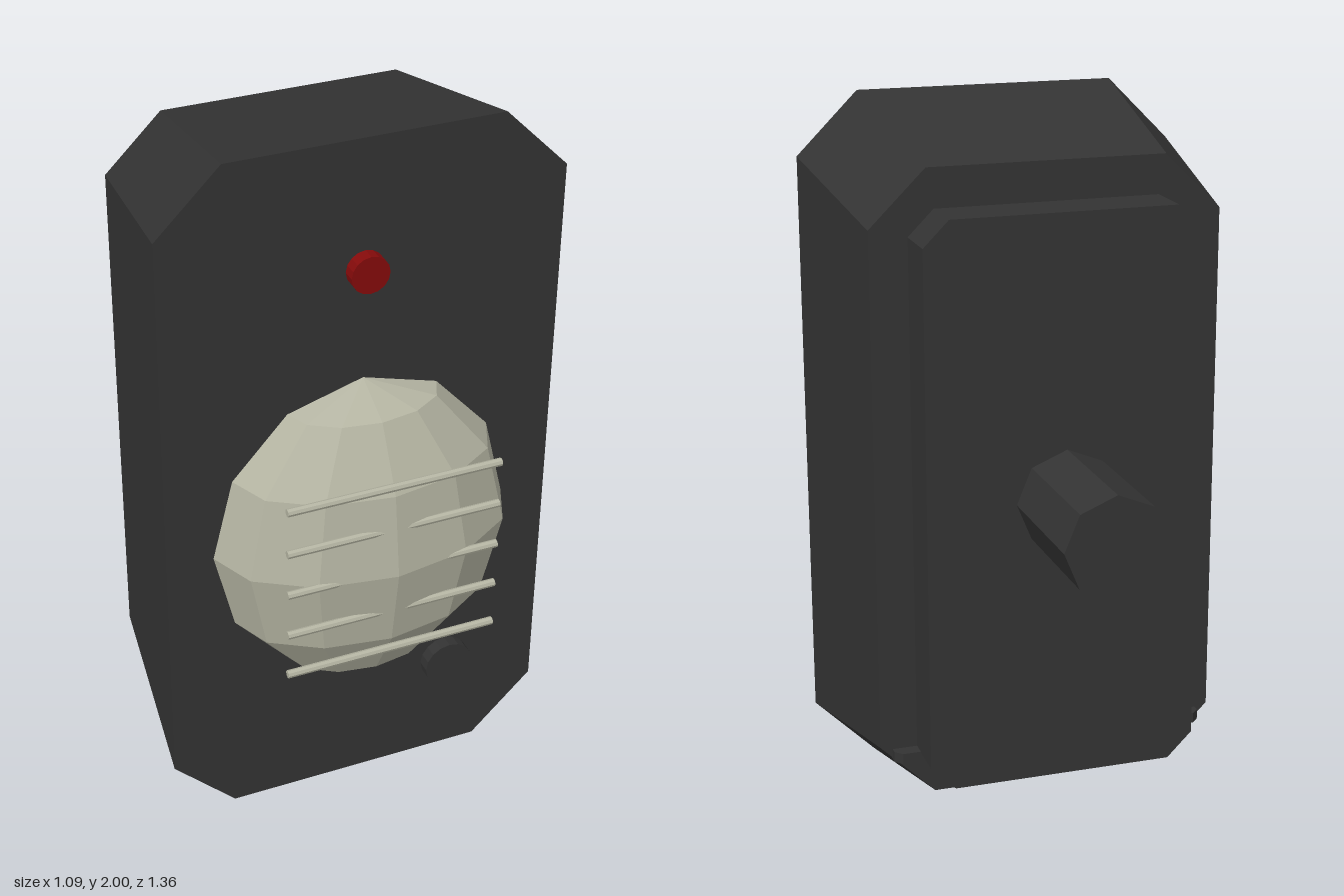
import * as THREE from 'three';

const mat = (name, color) => {
  const m = new THREE.MeshStandardMaterial({ color, flatShading: true });
  m.name = name;
  return m;
};

// Octagonal slab: rectangle with cut corners, from zBack to zFront, optionally tapering to the back
function cutSlab(w, h, cutX, cutY, zBack, zFront, taperX = 1, taperY = 1) {
  const pts = [
    [w, h - cutY], [w - cutX, h], [cutX - w, h], [-w, h - cutY],
    [-w, cutY - h], [cutX - w, -h], [w - cutX, -h], [w, cutY - h],
  ].map(([x, y]) => new THREE.Vector2(x, y));
  const geo = new THREE.ExtrudeGeometry(new THREE.Shape(pts), { depth: zFront - zBack, bevelEnabled: false });
  const p = geo.attributes.position;
  for (let i = 0; i < p.count; i++) {
    if (p.getZ(i) < 1e-4) p.setXY(i, p.getX(i) * taperX, p.getY(i) * taperY);
  }
  geo.translate(0, 0, zBack);
  geo.computeVertexNormals();
  return geo;
}

// Cylinder pointing along z
function zCylinder(r, zBack, zFront, sides) {
  return new THREE.CylinderGeometry(r, r, zFront - zBack, sides)
    .rotateX(Math.PI / 2)
    .translate(0, 0, (zBack + zFront) / 2);
}

export function createModel() {
  const group = new THREE.Group();
  const black = mat('black plastic', 0x333333);
  const red = mat('red lamp', 0x850b0b);
  const cream = mat('pale grey', 0xb4b4a2);

  const add = (name, geo, material, x = 0, y = 0, z = 0) => {
    const mesh = new THREE.Mesh(geo, material);
    mesh.name = name;
    mesh.position.set(x, y, z);
    group.add(mesh);
    return mesh;
  };

  // Housing, wider at the front, and the plate on its back
  add('housing', cutSlab(0.545, 1, 0.175, 0.175, -0.13, 0.43, 0.89, 0.88), black, 0, 1);
  add('backPlate', cutSlab(0.38, 0.79, 0.07, 0.07, -0.275, -0.12), black, 0, 0.982);

  // Rod behind the plate
  add('rod', zCylinder(0.14, -0.68, -0.295, 8), black, 0, 1.002);

  // Small chamfered tabs low on both sides of the plate
  for (const side of [-1, 1]) {
    const tab = new THREE.Shape([
      [-0.05, -0.02], [0.05, -0.02], [0.05, 0.01], [0.03, 0.03], [-0.05, 0.03],
    ].map(([x, z]) => new THREE.Vector2(x, z)));
    const geo = new THREE.ExtrudeGeometry(tab, { depth: 0.03, bevelEnabled: false })
      .translate(0, 0, -0.015)
      .rotateX(-Math.PI / 2);
    if (side < 0) geo.rotateZ(Math.PI);
    add(side > 0 ? 'leftTab' : 'rightTab', geo, black, side * 0.4, 0.25, -0.14);
  }

  // Domed cover
  add('dome', new THREE.SphereGeometry(1, 12, 6).scale(0.415, 0.46, 0.25), cream, 0, 0.865, 0.43);

  // Horizontal grille bars partly sunk into the dome
  for (let i = -2; i <= 2; i++) {
    const bar = new THREE.CylinderGeometry(0.011, 0.011, 0.59, 8).rotateZ(Math.PI / 2);
    add('grilleBar', bar, cream, 0, 0.865 + i * 0.13, 0.645);
  }

  // Lamp and button
  add('lamp', zCylinder(0.052, 0.42, 0.467, 16), red, 0, 1.642);
  add('button', zCylinder(0.07, 0.42, 0.467, 16), black, 0.265, 0.32);

  return group;
}
